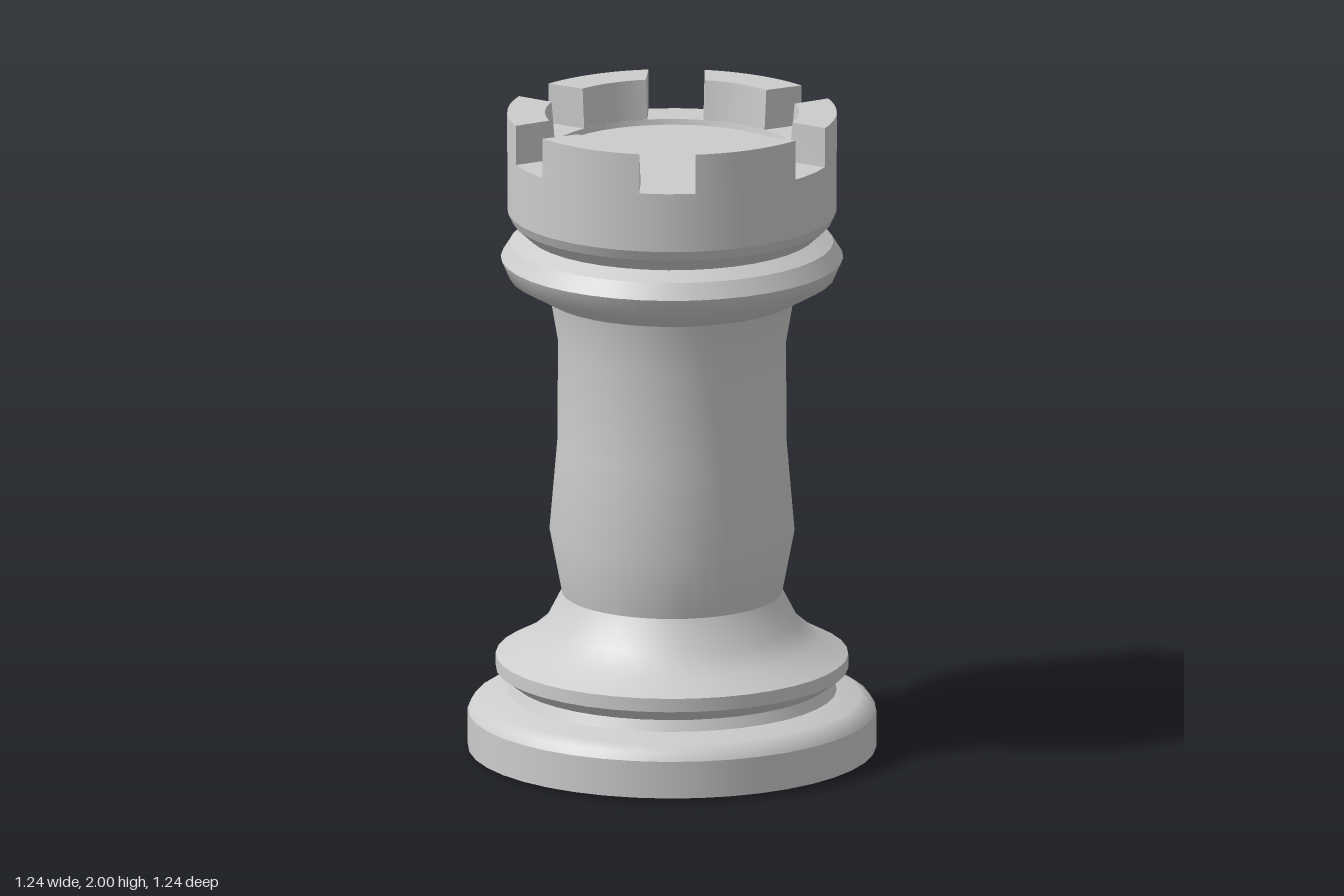
import * as THREE from 'three';
import { toCreasedNormals } from 'three/addons/utils/BufferGeometryUtils.js';

const SEGMENTS = 40;

export function createModel() {
  const group = new THREE.Group();
  const stone = new THREE.MeshStandardMaterial({ color: 0xcccccc });
  stone.name = 'pale grey';

  // Each run of profile points is smooth; edges between runs stay sharp.
  function turned(name, ...runs) {
    const part = new THREE.Group();
    part.name = name;
    runs.forEach((run, i) => {
      const points = run.map(([r, y]) => new THREE.Vector2(r, y));
      const mesh = new THREE.Mesh(new THREE.LatheGeometry(points, SEGMENTS), stone);
      mesh.name = `${name}Surface${i + 1}`;
      part.add(mesh);
    });
    group.add(part);
  }

  // Foot with rounded shoulder
  turned('foot',
    [[0, 0], [0.58, 0]],
    [[0.58, 0], [0.62, 0.01]],
    [[0.62, 0.01], [0.62, 0.125]],
    [[0.62, 0.125], [0.605, 0.15], [0.575, 0.168], [0.5, 0.187]],
    [[0.5, 0.187], [0.485, 0.22]]);

  // Lower collar and flared skirt
  turned('lowerCollar',
    [[0.485, 0.22], [0.535, 0.258]],
    [[0.535, 0.258], [0.535, 0.3]],
    [[0.535, 0.3], [0.45, 0.345], [0.385, 0.4], [0.335, 0.497]]);

  // Waisted column
  turned('column',
    [[0.335, 0.497], [0.372, 0.69], [0.348, 0.97], [0.346, 1.28], [0.372, 1.43]]);

  // Upper collar
  turned('upperCollar',
    [[0.372, 1.43], [0.39, 1.43]],
    [[0.39, 1.43], [0.495, 1.49], [0.52, 1.547]],
    [[0.52, 1.547], [0.49, 1.595]],
    [[0.49, 1.595], [0.44, 1.622]]);

  // Crown wall, gap ledge and sunken floor
  turned('crown',
    [[0.44, 1.622], [0.485, 1.664]],
    [[0.485, 1.664], [0.5, 1.695]],
    [[0.5, 1.695], [0.5, 1.877]],
    [[0.5, 1.877], [0.375, 1.877]],
    [[0.375, 1.877], [0.372, 1.86]],
    [[0.372, 1.86], [0, 1.86]]);

  // Six merlons separated by parallel-sided gaps
  const outer = 0.5, inner = 0.375, halfGap = 0.085, height = 0.123;
  const a = Math.PI / 6 - Math.asin(halfGap / outer);
  const b = Math.PI / 6 - Math.asin(halfGap / inner);
  const shape = new THREE.Shape();
  shape.absarc(0, 0, outer, -a, a, false);
  shape.absarc(0, 0, inner, b, -b, true);
  shape.closePath();
  const geometry = new THREE.ExtrudeGeometry(shape, { depth: height, bevelEnabled: false, curveSegments: 8 });
  // Lean the inner wall slightly outward at the top
  const p = geometry.attributes.position;
  for (let i = 0; i < p.count; i++) {
    if (p.getZ(i) > height / 2 && Math.hypot(p.getX(i), p.getY(i)) < 0.44) {
      p.setX(i, p.getX(i) + 0.01);
    }
  }
  geometry.rotateX(-Math.PI / 2);
  const merlonGeometry = toCreasedNormals(geometry, Math.PI / 6);
  for (let i = 0; i < 6; i++) {
    const merlon = new THREE.Mesh(merlonGeometry, stone);
    merlon.name = `merlon${i + 1}`;
    merlon.position.y = 1.877;
    merlon.rotation.y = i * Math.PI / 3;
    group.add(merlon);
  }

  return group;
}
